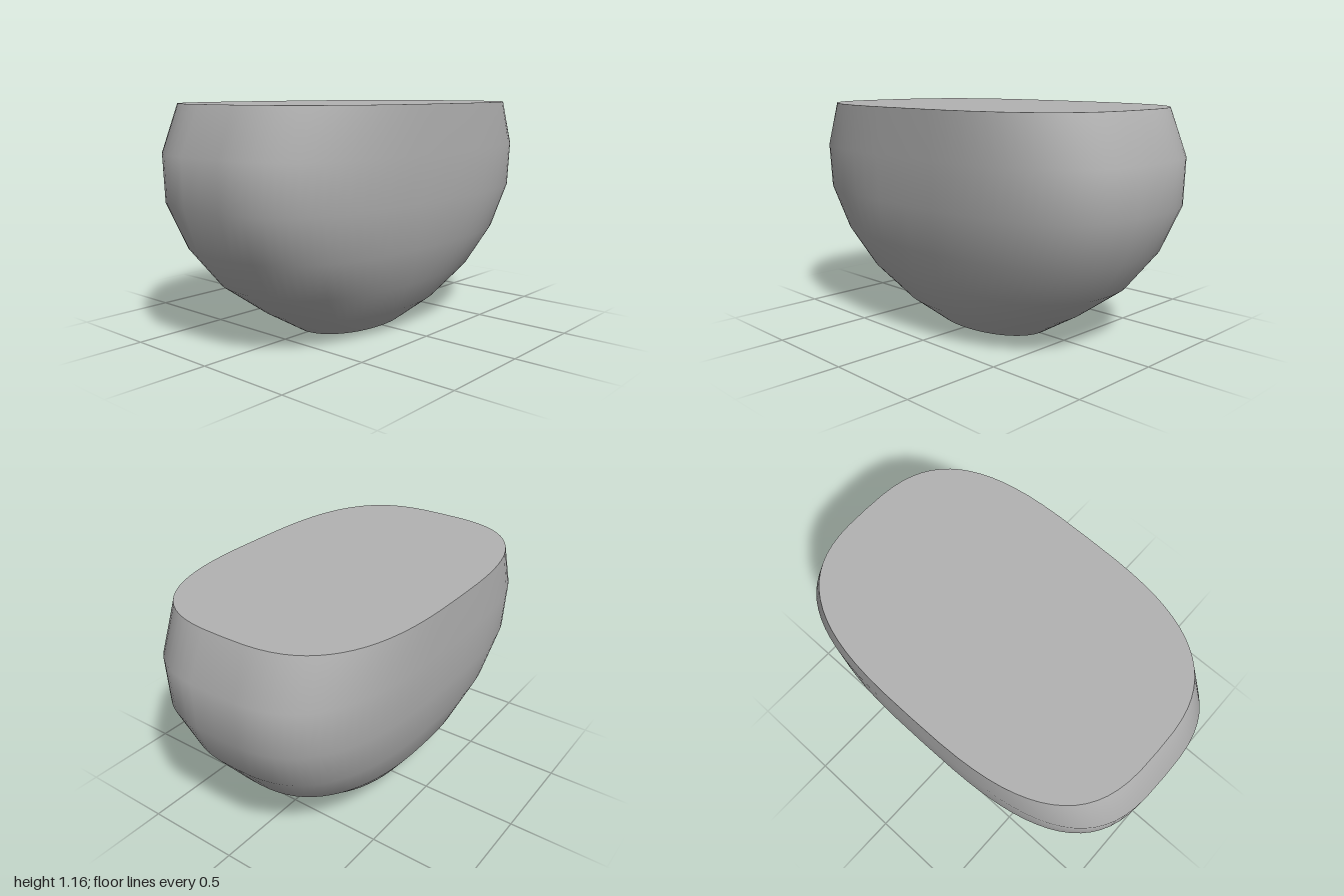
import * as THREE from 'three';

// Cross-sections from bottom to top: height, half width, half depth, squareness
const SECTIONS = [
  [0.0, 0.215, 0.34, 2.1],
  [0.12, 0.36, 0.54, 2.3],
  [0.28, 0.475, 0.76, 2.5],
  [0.475, 0.555, 0.91, 2.75],
  [0.7, 0.6, 1.0, 3.0],
  [0.93, 0.607, 1.0, 3.1],
  [1.16, 0.608, 0.905, 2.95],
];
const SIDES = 72;

// Point on a rounded-rectangle-like superellipse
function sectionPoint([y, halfX, halfZ, n], i) {
  const t = (i / SIDES) * Math.PI * 2;
  const c = Math.cos(t), s = Math.sin(t);
  const bend = (v) => Math.sign(v) * Math.pow(Math.abs(v), 2 / n);
  return [halfX * bend(c), y, halfZ * bend(s)];
}

// Curved wall lofted through all sections
function wallGeometry() {
  const positions = [], indices = [];
  SECTIONS.forEach((section) => {
    for (let i = 0; i < SIDES; i++) positions.push(...sectionPoint(section, i));
  });
  for (let r = 0; r < SECTIONS.length - 1; r++) {
    for (let i = 0; i < SIDES; i++) {
      const j = (i + 1) % SIDES;
      const a = r * SIDES + i, b = r * SIDES + j;
      indices.push(a, a + SIDES, b, b, a + SIDES, b + SIDES);
    }
  }
  const geometry = new THREE.BufferGeometry();
  geometry.setAttribute('position', new THREE.Float32BufferAttribute(positions, 3));
  geometry.setIndex(indices);
  geometry.computeVertexNormals();
  return geometry;
}

// Flat lid closing one section, facing up or down
function capGeometry(section, up) {
  const positions = [0, section[0], 0], indices = [];
  for (let i = 0; i < SIDES; i++) {
    positions.push(...sectionPoint(section, i));
    const a = i + 1, b = ((i + 1) % SIDES) + 1;
    indices.push(0, up ? b : a, up ? a : b);
  }
  const geometry = new THREE.BufferGeometry();
  geometry.setAttribute('position', new THREE.Float32BufferAttribute(positions, 3));
  geometry.setIndex(indices);
  geometry.computeVertexNormals();
  return geometry;
}

export function createModel() {
  const group = new THREE.Group();
  group.name = 'roundedBowlBlock';
  const grey = new THREE.MeshStandardMaterial({ color: 0xb2b2b2 });
  grey.name = 'plain grey';

  const add = (name, geometry) => {
    const mesh = new THREE.Mesh(geometry, grey);
    mesh.name = name;
    group.add(mesh);
  };
  add('curvedWall', wallGeometry());
  add('flatTop', capGeometry(SECTIONS[SECTIONS.length - 1], true));
  add('flatBase', capGeometry(SECTIONS[0], false));
  return group;
}
